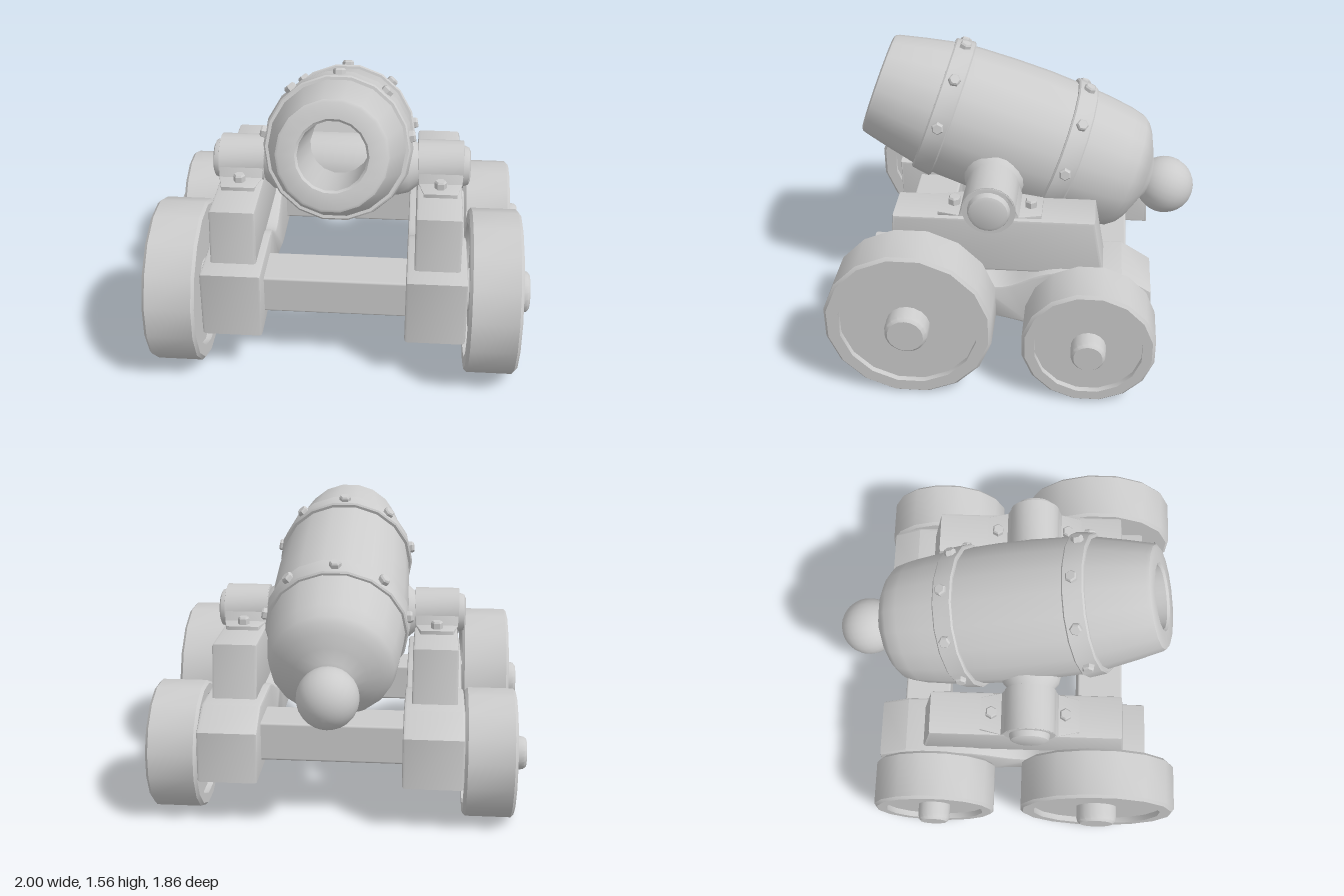
import * as THREE from 'three';
import { toCreasedNormals } from 'three/addons/utils/BufferGeometryUtils.js';
import { RoundedBoxGeometry } from 'three/addons/geometries/RoundedBoxGeometry.js';

const material = new THREE.MeshStandardMaterial({ color: 0xcccccc });
const vec2 = (pts) => pts.map(([x, y]) => new THREE.Vector2(x, y));

function add(parent, name, geometry, x = 0, y = 0, z = 0) {
  const mesh = new THREE.Mesh(geometry, material);
  mesh.name = name;
  mesh.position.set(x, y, z);
  parent.add(mesh);
  return mesh;
}

// Turned part around y, flat side facing up and down; profile runs bottom to top
function turned(profile, sides, crease = 0.6) {
  return toCreasedNormals(new THREE.LatheGeometry(vec2(profile), sides, Math.PI / sides), crease);
}

// Side outline of (z, y) shape extruded along x, centred on x = 0
function sidePanel(shape, width, bevel) {
  const g = new THREE.ExtrudeGeometry(shape, {
    depth: width - 2 * bevel, bevelEnabled: true, bevelThickness: bevel, bevelSize: bevel,
    bevelOffset: -bevel, bevelSegments: 2, curveSegments: 8,
  });
  g.translate(0, 0, -(width - 2 * bevel) / 2);
  g.rotateY(-Math.PI / 2);
  return g;
}

function hexBolt() {
  return turned([[0, -0.02], [0.032, -0.02], [0.032, 0.018], [0.025, 0.027], [0, 0.027]], 6, 0.3);
}

function buildBarrel() {
  const barrel = new THREE.Group();
  barrel.name = 'barrel';
  barrel.position.set(0, 1.307, 0.768);
  barrel.rotation.x = THREE.MathUtils.degToRad(70);

  // Body: breech, swelling middle, muzzle and bore
  add(barrel, 'barrelBody', turned([
    [0, -1.56], [0.105, -1.545], [0.125, -1.528], [0.19, -1.498], [0.255, -1.465], [0.295, -1.435],
    [0.318, -1.405], [0.336, -1.33], [0.352, -1.2], [0.363, -1.05], [0.37, -0.85], [0.367, -0.65],
    [0.358, -0.45], [0.345, -0.33], [0.308, -0.16], [0.275, -0.025], [0.268, -0.008], [0.255, 0],
    [0.176, 0], [0.165, -0.012], [0.16, -0.7], [0, -0.7],
  ], 18));

  // Breech knob
  add(barrel, 'breechKnob', new THREE.SphereGeometry(0.155, 24, 16), 0, -1.645, 0);

  // Reinforcing bands with five bolts across the top
  for (const [s, rFront, rBack] of [[0.367, 0.364, 0.378], [1.053, 0.386, 0.378]]) {
    const w = 0.055;
    add(barrel, 'band', turned([
      [0.3, -s - w], [rBack - 0.008, -s - w], [rBack, -s - w + 0.008],
      [rFront, -s + w - 0.008], [rFront - 0.008, -s + w], [0.3, -s + w],
    ], 18), 0, 0, 0);
    const r = ((rFront + rBack) / 2) * Math.cos(Math.PI / 18);
    for (let i = -2; i <= 2; i++) {
      const a = (i * 2 * Math.PI) / 9;
      const dir = new THREE.Vector3(Math.sin(a), 0, -Math.cos(a));
      const bolt = add(barrel, 'bandBolt', hexBolt(), dir.x * r, -s, dir.z * r);
      bolt.quaternion.setFromUnitVectors(new THREE.Vector3(0, 1, 0), dir);
    }
  }
  return barrel;
}

// Strap plate: flat feet joined by an arch over the trunnion, feet narrowing outward
function strapGeometry() {
  const s = new THREE.Shape();
  s.moveTo(-0.26, -0.06);
  s.lineTo(0.26, -0.06);
  s.lineTo(0.26, -0.035);
  s.lineTo(0.15, -0.035);
  s.lineTo(0.118, 0.06);
  s.absarc(0, 0, 0.132, 0.47, Math.PI - 0.47, false);
  s.lineTo(-0.15, -0.035);
  s.lineTo(-0.26, -0.035);
  const g = sidePanel(s, 0.24, 0.004);
  const p = g.attributes.position;
  for (let i = 0; i < p.count; i++) {
    const far = Math.max(0, Math.abs(p.getZ(i)) - 0.12) / 0.14;
    p.setX(i, p.getX(i) * (1 - 0.28 * far));
  }
  g.computeVertexNormals();
  return toCreasedNormals(g, 0.5);
}

function railGeometry() {
  const s = new THREE.Shape();
  s.moveTo(0.754, 0.246);
  s.lineTo(0.754, 0.604);
  s.lineTo(0.34, 0.604);
  s.bezierCurveTo(0.22, 0.6, 0.2, 0.5, 0.09, 0.5);
  s.bezierCurveTo(-0.03, 0.5, -0.08, 0.595, -0.24, 0.606);
  s.lineTo(-0.55, 0.606);
  s.lineTo(-0.7, 0.51);
  s.lineTo(-0.716, 0.25);
  s.lineTo(-0.2, 0.25);
  s.bezierCurveTo(-0.08, 0.25, 0, 0.305, 0.12, 0.31);
  s.bezierCurveTo(0.24, 0.31, 0.26, 0.25, 0.36, 0.246);
  return toCreasedNormals(sidePanel(s, 0.31, 0.014), 0.6);
}

function wheelGeometry(radius, inner) {
  const R = radius / Math.cos(Math.PI / 16), h = 0.131, d = h - 0.03;
  return turned([
    [0, -d], [inner, -d], [inner, -h], [R - 0.015, -h], [R, -h + 0.015],
    [R, h - 0.015], [R - 0.015, h], [inner, h], [inner, d], [0, d],
  ], 16).rotateZ(-Math.PI / 2);
}

export function createModel() {
  const model = new THREE.Group();
  model.name = 'cannon';
  model.add(buildBarrel());

  // Trunnion pin with flared roots inside the barrel
  const half = [[0.165, 0.3], [0.15, 0.36], [0.107, 0.41], [0.107, 0.65], [0.098, 0.672], [0.08, 0.68], [0, 0.68]];
  const pin = [...half.map(([r, x]) => [r, -x]).reverse(), ...half];
  add(model, 'trunnion', turned(pin, 20).rotateZ(-Math.PI / 2), 0, 0.94, 0.12);

  // Cross beams between the rails
  add(model, 'frontCrossBeam', new RoundedBoxGeometry(0.8, 0.204, 0.25, 2, 0.012), 0, 0.422, 0.515);
  add(model, 'rearCrossBeam', new RoundedBoxGeometry(0.8, 0.204, 0.25, 2, 0.012), 0, 0.422, -0.452);

  const cheekShape = new THREE.Shape(vec2([[0.64, 0.574], [0.604, 0.885], [-0.406, 0.885], [-0.46, 0.574]]));
  const wheels = [
    ['front', 0.418, 0.35, 0.11, 0.505],
    ['rear', 0.331, 0.272, 0.088, -0.396],
  ];

  for (const side of [1, -1]) {
    const label = side > 0 ? 'left' : 'right';

    // Carriage side: lower rail and upper cheek
    add(model, label + 'Rail', railGeometry(), side * 0.519);
    add(model, label + 'Cheek', toCreasedNormals(sidePanel(cheekShape, 0.234, 0.014), 0.6), side * 0.52);

    // Trunnion strap, its ring and bolts
    add(model, label + 'Strap', strapGeometry(), side * 0.524, 0.94, 0.12);
    const ring = turned([[0, -0.118], [0.135, -0.118], [0.135, 0.118], [0, 0.118]], 20).rotateZ(-Math.PI / 2);
    add(model, label + 'StrapRing', ring, side * 0.524, 0.94, 0.12);
    for (const z of [0.305, -0.083]) add(model, label + 'StrapBolt', hexBolt(), side * 0.524, 0.918, z);

    // Wheels with rounded hubs
    for (const [end, radius, inner, hub, z] of wheels) {
      const name = label + end[0].toUpperCase() + end.slice(1);
      add(model, name + 'Wheel', wheelGeometry(radius, inner), side * 0.805, radius, z);
      const hubGeometry = turned([
        [0, 0.6], [hub, 0.6], [hub, 0.965], [hub * 0.95, 0.987], [hub * 0.82, 1], [0, 1],
      ], 18).rotateZ((-side * Math.PI) / 2);
      add(model, name + 'Hub', hubGeometry, 0, radius, z);
    }
  }
  return model;
}
